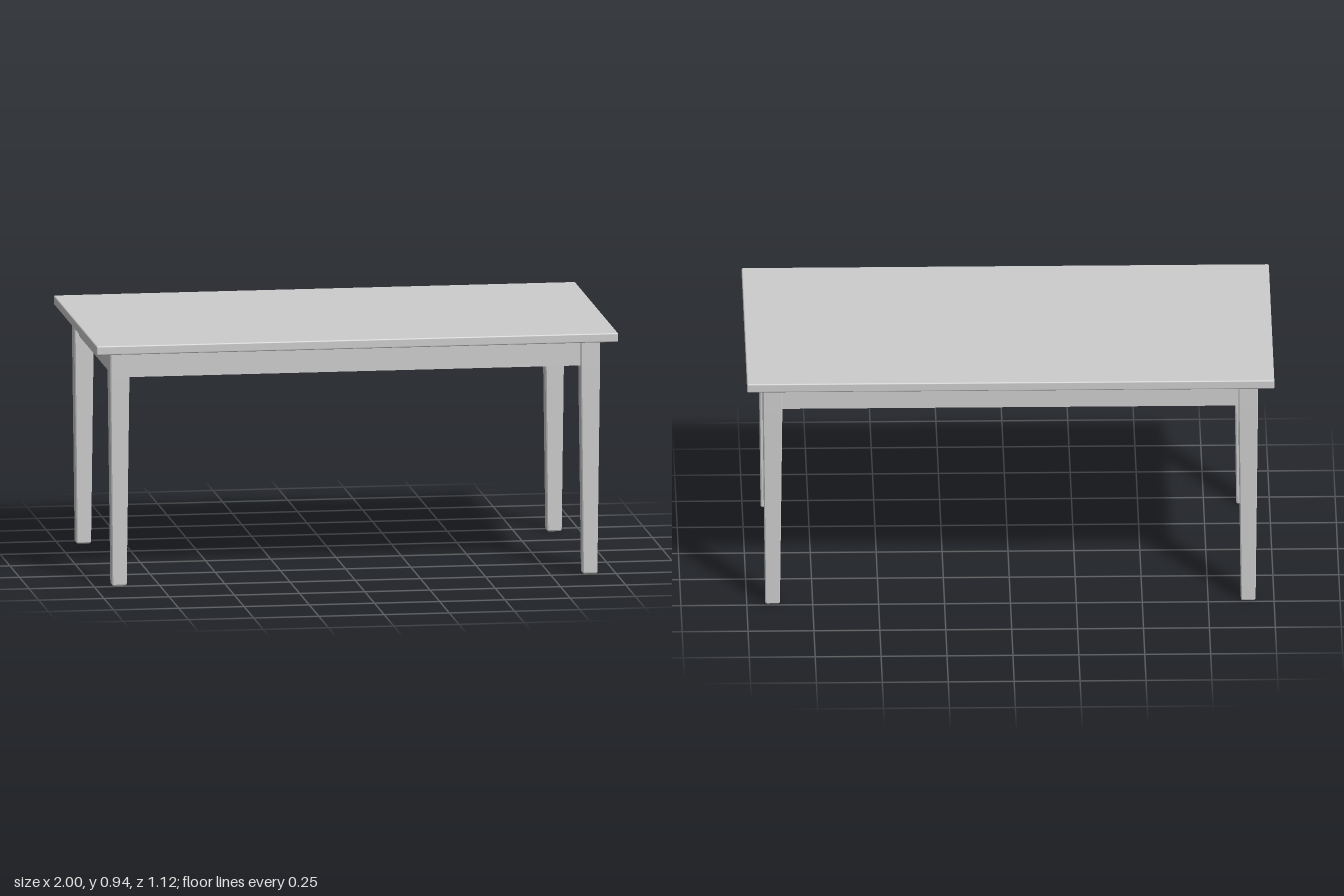
import * as THREE from 'three';
import { RoundedBoxGeometry } from 'three/addons/geometries/RoundedBoxGeometry.js';

// Square section with small chamfered corners
function section(half, chamfer) {
  const a = half, b = half - chamfer;
  return [[a, -b], [a, b], [b, a], [-b, a], [-a, b], [-a, -b], [-b, -a], [b, -a]];
}

// Hollow tapered leg, open at both ends: rings of [y, half width]
function legGeometry() {
  const rings = [[0, 0.025], [0.005, 0.028], [0.8, 0.037], [0.902, 0.037]];
  const positions = [], index = [], n = 8;
  for (const [y, half] of rings) {
    for (const [x, z] of section(half, 0.004)) positions.push(x, y, z);
  }
  for (let r = 0; r < rings.length - 1; r++) {
    for (let i = 0; i < n; i++) {
      const a = r * n + i, b = r * n + (i + 1) % n;
      index.push(a, a + n, b, b, a + n, b + n);
    }
  }
  const indexed = new THREE.BufferGeometry();
  indexed.setAttribute('position', new THREE.Float32BufferAttribute(positions, 3));
  indexed.setIndex(index);
  const flat = indexed.toNonIndexed();
  flat.computeVertexNormals();
  return flat;
}

export function createModel() {
  const model = new THREE.Group();
  model.name = 'table';
  const grey = new THREE.MeshStandardMaterial({ color: 0xcccccc, side: THREE.DoubleSide });
  grey.name = 'light grey';

  const add = (name, geometry, x, y, z) => {
    const mesh = new THREE.Mesh(geometry, grey);
    mesh.name = name;
    mesh.position.set(x, y, z);
    model.add(mesh);
  };

  // Slab with softened edges
  add('tabletop', new RoundedBoxGeometry(2, 0.035, 1.12, 2, 0.005), 0, 0.9195, 0);

  // Four legs
  const leg = legGeometry();
  for (const sx of [-1, 1]) {
    for (const sz of [-1, 1]) {
      const name = (sz > 0 ? 'front' : 'back') + (sx > 0 ? 'Left' : 'Right') + 'Leg';
      add(name, leg, sx * 0.902, 0, sz * 0.463);
    }
  }

  // Aprons between the legs, set back from their outer faces
  const longApron = new THREE.BoxGeometry(1.736, 0.1, 0.03);
  const shortApron = new THREE.BoxGeometry(0.03, 0.1, 0.858);
  for (const s of [-1, 1]) {
    add(s > 0 ? 'frontApron' : 'backApron', longApron, 0, 0.852, s * 0.468);
    add(s > 0 ? 'leftApron' : 'rightApron', shortApron, s * 0.907, 0.852, 0);
  }
  return model;
}
